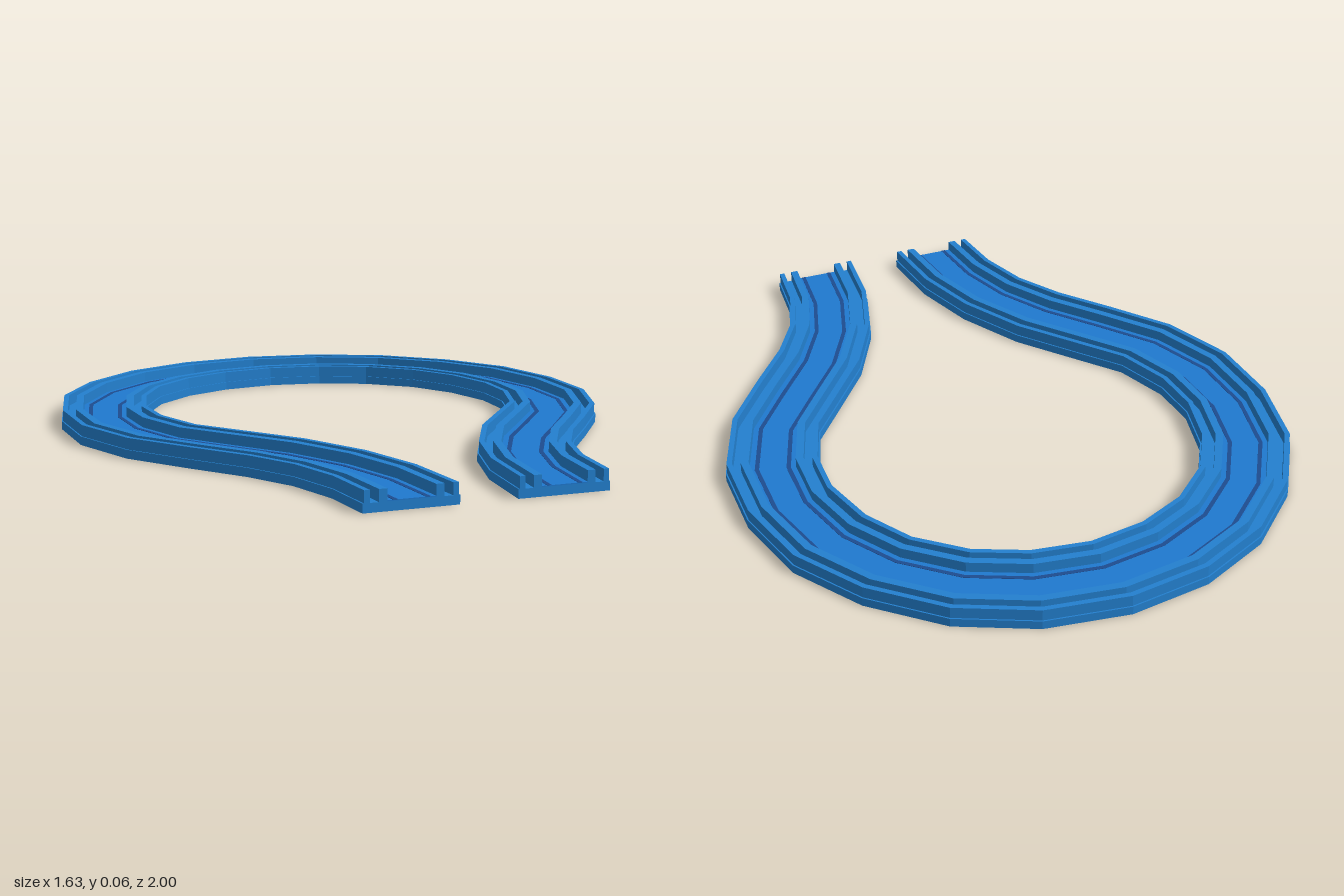
import * as THREE from 'three';

// Right half of the loop, from the far middle round to the front end: [outer x, outer z, inner x, inner z]
const HALF = [
  [0, -1, 0, -0.74],
  [0.24, -0.965, 0.165, -0.715],
  [0.455, -0.865, 0.31, -0.65],
  [0.635, -0.7, 0.435, -0.54],
  [0.76, -0.5, 0.515, -0.4],
  [0.815, -0.26, 0.557, -0.235],
  [0.81, -0.02, 0.55, -0.085],
  [0.73, 0.2, 0.495, 0.078],
  [0.6, 0.38, 0.4, 0.2],
  [0.485, 0.53, 0.265, 0.375],
  [0.405, 0.67, 0.162, 0.575],
  [0.357, 0.83, 0.102, 0.78],
  [0.34, 1, 0.08, 1],
];
const STATIONS = [
  ...HALF.slice(1).reverse().map(([ox, oz, ix, iz]) => [-ox, oz, -ix, iz]),
  ...HALF,
];
const HALF_WIDTH = 0.13;

// Point on a station at a sideways offset from the centre line (positive = outside of the loop)
function pointAt([ox, oz, ix, iz], offset, y) {
  const t = (offset / HALF_WIDTH + 1) / 2;
  return [ix + (ox - ix) * t, y, iz + (oz - iz) * t];
}

// Rectangular beam swept along the whole loop, closed at both ends
function beam(a, b, y0, y1) {
  const rings = STATIONS.map((s) => [
    pointAt(s, b, y0), pointAt(s, b, y1), pointAt(s, a, y1), pointAt(s, a, y0),
  ]);
  const positions = [];
  const quad = (p, q, r, s) => positions.push(...p, ...q, ...r, ...p, ...r, ...s);
  for (let i = 0; i < rings.length - 1; i++) {
    for (let k = 0; k < 4; k++) {
      const n = (k + 1) % 4;
      quad(rings[i][k], rings[i][n], rings[i + 1][n], rings[i + 1][k]);
    }
  }
  const [c0, c1, c2, c3] = rings[0];
  quad(c3, c2, c1, c0);
  quad(...rings[rings.length - 1]);
  const geometry = new THREE.BufferGeometry();
  geometry.setAttribute('position', new THREE.Float32BufferAttribute(positions, 3));
  geometry.computeVertexNormals();
  return geometry;
}

export function createModel() {
  const group = new THREE.Group();
  group.name = 'loopTrack';

  const railBlue = new THREE.MeshStandardMaterial({ color: 0x2380cf });
  railBlue.name = 'rail blue';
  const roadBlue = new THREE.MeshStandardMaterial({ color: 0x1f79cf });
  roadBlue.name = 'road blue';
  const stripeBlue = new THREE.MeshStandardMaterial({ color: 0x1d4c90 });
  stripeBlue.name = 'dark stripe blue';

  const add = (name, material, a, b, y0, y1) => {
    const mesh = new THREE.Mesh(beam(a, b, y0, y1), material);
    mesh.name = name;
    group.add(mesh);
  };

  // Flat base and the road surface between the rails
  add('base', railBlue, -0.13, 0.13, 0, 0.025);
  add('road', roadBlue, -0.065, 0.065, 0.025, 0.028);

  // Mirrored side walls, rails and painted stripes
  for (const [side, sign] of [['inner', -1], ['outer', 1]]) {
    const addPair = (name, material, near, far, y0, y1) => {
      const [a, b] = sign > 0 ? [near, far] : [-far, -near];
      add(side + name, material, a, b, y0, y1);
    };
    addPair('Wall', railBlue, 0.111, 0.126, 0.025, 0.058);
    addPair('Rail', railBlue, 0.065, 0.087, 0.025, 0.058);
    addPair('Stripe', stripeBlue, 0.038, 0.05, 0.028, 0.029);
  }
  return group;
}
